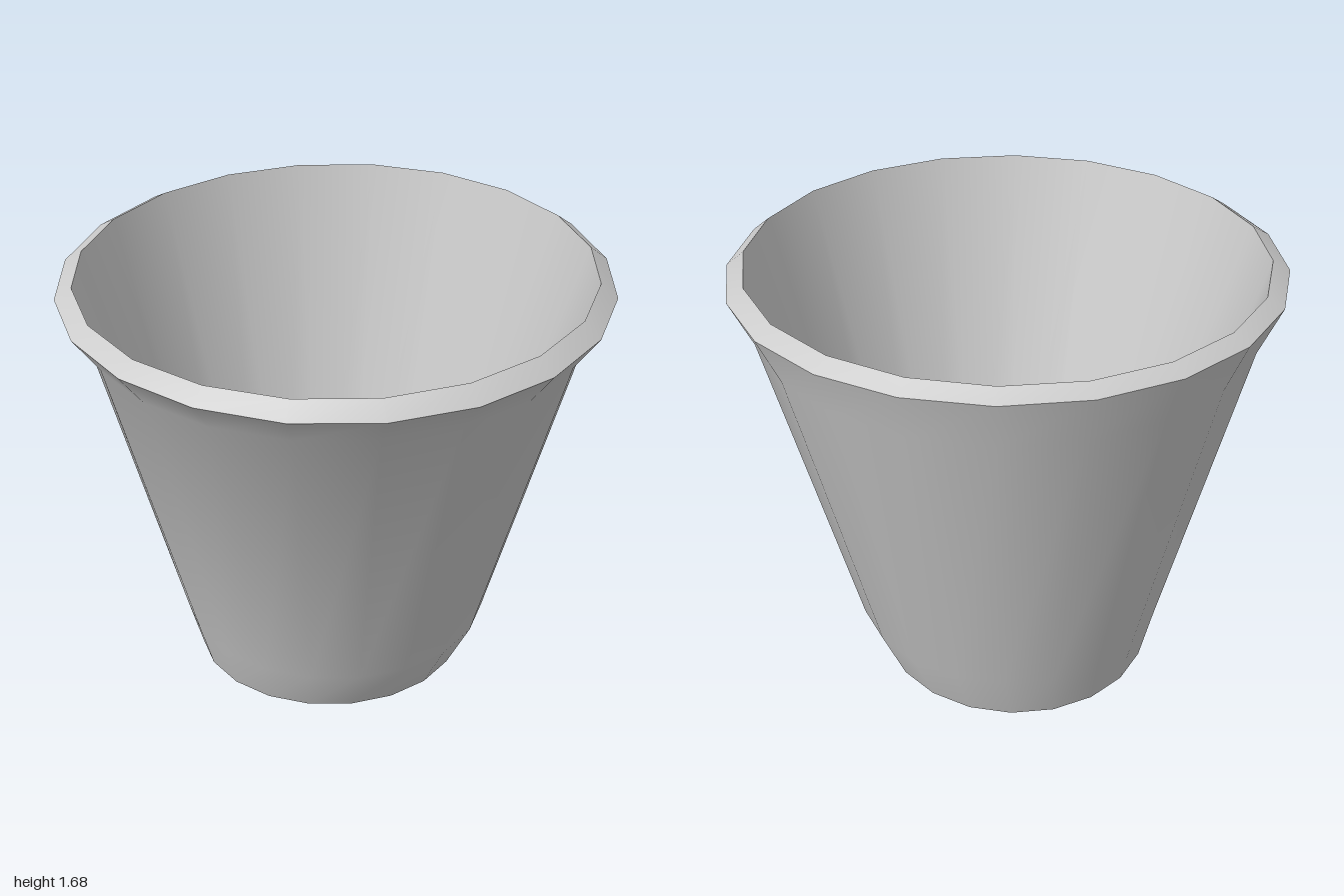
import * as THREE from 'three';
import { toCreasedNormals } from 'three/addons/utils/BufferGeometryUtils.js';

const SIDES = 20;

// Closed skin through a loop of rings: { x, y, z, r, tx, tz }; tx and tz tilt the ring
function loftLoop(rings) {
  const positions = [], index = [];
  for (const { x, y, z, r, tx = 0, tz = 0 } of rings) {
    for (let j = 0; j < SIDES; j++) {
      const a = ((j + 0.5) / SIDES) * Math.PI * 2;
      const px = x + r * Math.cos(a), pz = z + r * Math.sin(a);
      positions.push(px, y + tx * px + tz * pz, pz);
    }
  }
  rings.forEach((_, i) => {
    const lower = i * SIDES, upper = ((i + 1) % rings.length) * SIDES;
    for (let j = 0; j < SIDES; j++) {
      const k = (j + 1) % SIDES;
      index.push(lower + j, upper + j, lower + k, lower + k, upper + j, upper + k);
    }
  });
  const geometry = new THREE.BufferGeometry();
  geometry.setAttribute('position', new THREE.Float32BufferAttribute(positions, 3));
  geometry.setIndex(index);
  return toCreasedNormals(geometry, 0.6);
}

export function createModel() {
  const group = new THREE.Group();
  group.name = 'flowerPot';

  const hole = { x: -0.17, z: 0.03, r: 0.045 };
  const pot = loftLoop([
    // underside, from the drain hole outwards
    { ...hole, y: 0.015 },
    { x: -0.065, y: 0.01, z: -0.05, r: 0.515, tx: 0.01, tz: 0.01 },
    // outer wall
    { x: -0.04, y: 0.2, z: -0.05, r: 0.585 },
    { x: -0.015, y: 1.43, z: -0.025, r: 0.915, tx: -0.01, tz: -0.02 },
    // flared, tilted rim
    { x: 0, y: 1.59, z: 0, r: 1.005, tx: -0.03, tz: -0.045 },
    { x: 0, y: 1.635, z: 0, r: 0.942, tx: -0.02, tz: -0.042 },
    // inner wall and floor, back to the drain hole
    { x: -0.035, y: 0.05, z: -0.06, r: 0.465 },
    { ...hole, y: 0.04 },
  ]);
  const mesh = new THREE.Mesh(pot, new THREE.MeshStandardMaterial({ color: 0xcccccc }));
  mesh.name = 'potBody';
  group.add(mesh);
  return group;
}
